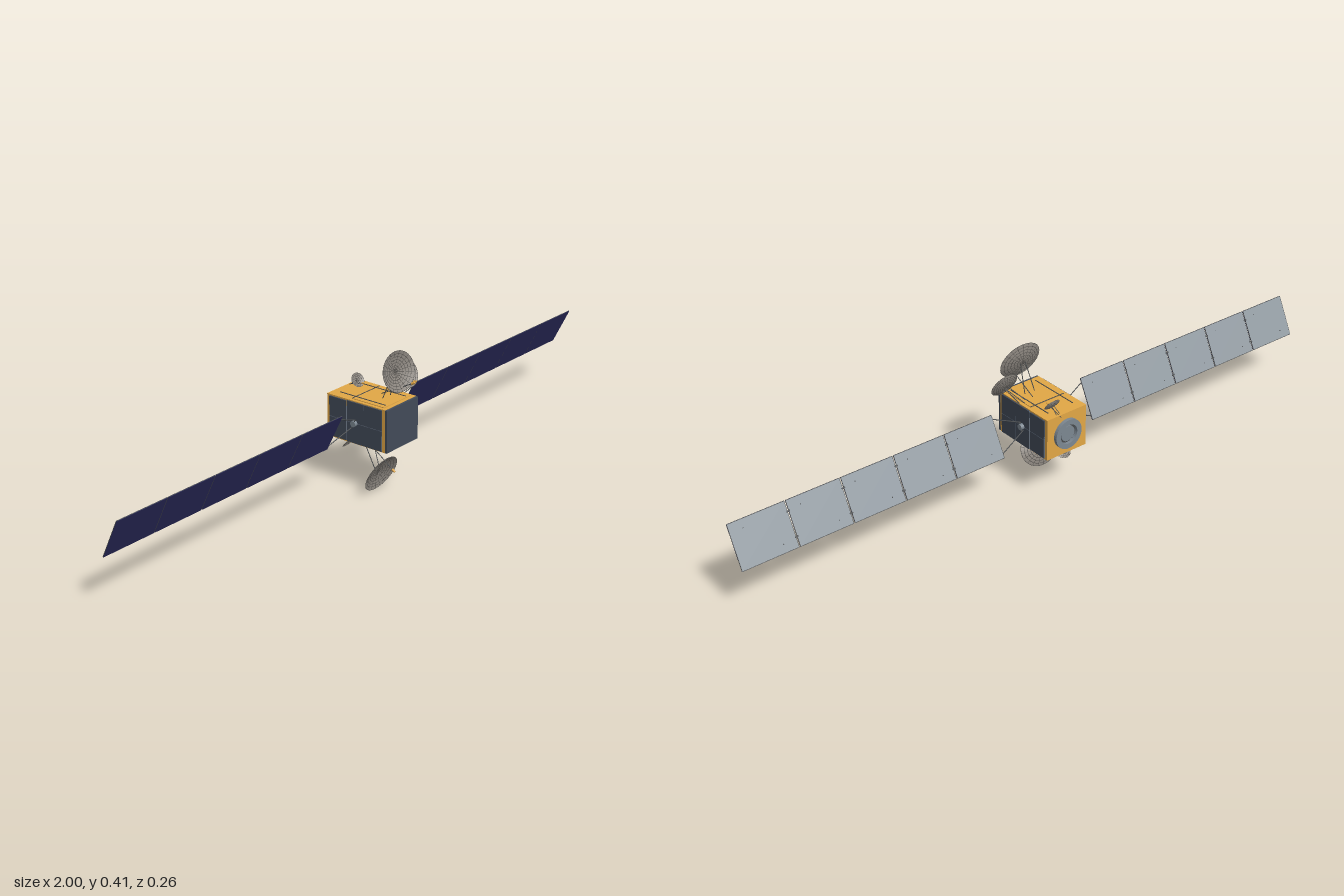
import * as THREE from 'three';

const paint = (name, color, side = THREE.FrontSide) => {
  const m = new THREE.MeshStandardMaterial({ color, side });
  m.name = name;
  return m;
};

export function createModel() {
  const model = new THREE.Group();
  model.name = 'satellite';
  const gold = paint('gold foil', 0xe2a746);
  const slate = paint('slate radiator', 0x424b59);
  const navy = paint('navy solar cell', 0x2c2c5e);
  const silver = paint('silver panel back', 0x919aa1);
  const steel = paint('steel', 0x7c8791, THREE.DoubleSide);
  const dark = paint('dark strut', 0x484b4d);
  const mesh = paint('warm grey dish', 0x8c867f, THREE.DoubleSide);
  const ribGrey = paint('dish rib grey', 0x5c5955);

  const V = (x, y, z) => new THREE.Vector3(x, y, z);
  const add = (parent, name, geo, mat, x = 0, y = 0, z = 0) => {
    const m = new THREE.Mesh(geo, mat);
    m.name = name;
    m.position.set(x, y, z);
    parent.add(m);
    return m;
  };
  const box = (parent, name, mat, w, h, d, x, y, z) =>
    add(parent, name, new THREE.BoxGeometry(w, h, d), mat, x, y, z);
  const rod = (parent, name, mat, a, b, r = 0.0015, r2 = r) => {
    const d = b.clone().sub(a);
    const m = add(parent, name, new THREE.CylinderGeometry(r2, r, d.length(), 8), mat);
    m.position.copy(a).addScaledVector(d, 0.5);
    m.quaternion.setFromUnitVectors(V(0, 1, 0), d.normalize());
    return m;
  };

  // Main body, front radiator
  const cy = 0.2025;
  const body = new THREE.Group();
  body.name = 'body';
  model.add(body);
  box(body, 'core', gold, 0.141, 0.13, 0.21, 0, cy, -0.011);
  box(body, 'frontRadiator', slate, 0.142, 0.128, 0.007, 0, cy, 0.0975);

  // Side radiators: six tiles over light backing plates, gold showing between the two plates
  for (const s of [-1, 1]) {
    box(body, 'sideBackingFront', steel, 0.003, 0.124, 0.125, s * 0.071, cy, 0.0215);
    box(body, 'sideBackingRear', steel, 0.003, 0.121, 0.0615, s * 0.071, cy, -0.0748);
    for (const [z, d, h] of [[0.0532, 0.0616, 0.0615], [-0.0097, 0.0616, 0.0615], [-0.0748, 0.0615, 0.06]])
      for (const t of [-1, 1])
        box(body, 'sideTile', slate, 0.004, h, d, s * 0.0725, cy + t * (h / 2 + 0.0007), z);
    // Wing drive hub
    const hub = add(body, 'wingHub', new THREE.CylinderGeometry(0.009, 0.009, 0.014, 20), steel, s * 0.078, 0.203, -0.011);
    hub.rotation.z = Math.PI / 2;
  }

  // Top and bottom decks with rails
  for (const t of [-1, 1]) {
    box(body, 'deckPlate', gold, 0.12, 0.003, 0.115, 0, cy + t * 0.0655, 0.025);
    for (const s of [-1, 1])
      box(body, 'deckRail', dark, 0.0025, 0.0015, 0.165, s * 0.045, cy + t * 0.0676, -0.006);
    box(body, 'deckCrossRail', dark, 0.12, 0.0015, 0.0025, 0, cy + t * 0.0674, -0.031);
  }

  // Rear docking ring around the engine
  const ringProfile = [[0.03, 0], [0.03, 0.011], [0.046, 0.011], [0.046, 0]].map(p => new THREE.Vector2(...p));
  const ring = add(body, 'rearRing', new THREE.LatheGeometry(ringProfile, 40).toNonIndexed(), steel, 0, cy, -0.116);
  ring.geometry.computeVertexNormals();
  const well = add(body, 'rearWell', new THREE.CylinderGeometry(0.03, 0.03, 0.002, 32), dark, 0, cy, -0.1165);
  const engine = add(body, 'enginePlate', new THREE.CylinderGeometry(0.024, 0.024, 0.006, 32), steel, 0, cy, -0.119);
  for (const part of [ring, well, engine]) part.rotation.x = -Math.PI / 2;

  // Solar wings: five hinged panels each, tilted with the top edge forward
  const inner = 0.163, pitch = (1 - inner) / 5, height = 0.128;
  for (const s of [-1, 1]) {
    const wing = new THREE.Group();
    wing.name = s > 0 ? 'leftWing' : 'rightWing';
    wing.position.set(0, 0.203, -0.011);
    wing.rotation.x = 0.465;
    model.add(wing);
    for (let i = 0; i < 5; i++) {
      const w = pitch - (i < 4 ? 0.0035 : 0);
      const x = s * (inner + i * pitch + w / 2);
      box(wing, 'panelBack', silver, w, height, 0.0016, x, 0, -0.0008);
      box(wing, 'solarCells', navy, w, height, 0.001, x, 0, 0.0005);
      for (const e of [-1, 1]) {
        // Dark edge caps, hinges and latches
        box(wing, 'panelEdge', dark, 0.0012, height, 0.0019, x + e * (w / 2 - 0.0005), 0, -0.0009);
        box(wing, 'panelRim', dark, w, 0.0016, 0.0019, x, e * (height / 2 - 0.0007), -0.0009);
        if (i < 4) box(wing, 'hinge', dark, 0.01, 0.004, 0.002, s * (inner + (i + 1) * pitch - 0.00175), e * 0.035, -0.002);
        box(wing, 'latch', dark, 0.0025, 0.0025, 0.001, x + e * 0.045, e * 0.04, -0.002);
      }
    }
    // Yoke struts
    for (const t of [-1, 1])
      rod(wing, 'yokeStrut', dark, V(s * 0.076, t * 0.012, 0), V(s * (inner + 0.002), t * 0.052, 0), 0.0015);
    rod(wing, 'yokeBar', dark, V(s * 0.082, -0.015, 0), V(s * 0.082, 0.015, 0), 0.0015);
  }

  // Dish antennas: [rim centre], [aim y, z], half width, half height, depth, [feed], [feed foot], [strut foot]
  const dishes = [
    ['upperLargeDish', [0.01, 0.355, 0.079], [0.031, 0.114], 0.069, 0.058, 0.014, [0.02, 0.328, 0.123], [0.02, 0.268, 0.007], [0.01, 0.268, 0.035]],
    ['upperSmallDish', [0.093, 0.318, 0.046], [0.036, 0.077], 0.043, 0.0415, 0.009, [0.085, 0.303, 0.08], [0.058, 0.268, -0.005], [0.058, 0.268, 0.008]],
    ['lowerLargeDish', [-0.043, 0.056, 0.059], [-0.043, 0.105], 0.066, 0.057, 0.013, [-0.043, 0.077, 0.104], [-0.043, 0.138, 0.016], [-0.043, 0.138, 0.016]],
    ['upperRearDish', [0.025, 0.287, -0.0815], [0.023, 0.035], 0.025, 0.021, 0.005, [0.025, 0.282, -0.061], [0.025, 0.264, -0.121], [0.025, 0.264, -0.113]],
    ['lowerRearDish', [-0.025, 0.113, -0.0715], [-0.033, 0.034], 0.025, 0.0235, 0.005, [-0.025, 0.116, -0.054], [-0.025, 0.141, -0.114], [-0.025, 0.141, -0.11]],
  ];
  for (const [name, c, [ay, az], rx, R, depth, feed, feedFoot, foot] of dishes) {
    const unit = new THREE.Group();
    unit.name = name;
    model.add(unit);
    const large = R > 0.03, k = large ? 1 : 0.7;
    const aim = V(0, ay, az).normalize();
    const back = V(...c).addScaledVector(aim, -depth);
    const dish = new THREE.Group();
    dish.name = 'reflector';
    dish.position.copy(back);
    dish.rotation.x = Math.atan2(az, ay);
    dish.scale.x = rx / R;
    unit.add(dish);

    // Parabolic shell with concentric and radial ribs
    const profile = Array.from({ length: 9 }, (_, i) => new THREE.Vector2(R * i / 8, depth * (i / 8) ** 2));
    add(dish, 'shell', new THREE.LatheGeometry(profile, 36), mesh);
    const rings = large ? 7 : 4, ribs = large ? 20 : 12, thin = large ? 0.0008 : 0.0005;
    for (let i = 1; i <= rings; i++) {
      const t = i / rings;
      const hoop = add(dish, 'hoop', new THREE.TorusGeometry(R * t, thin, 5, 36), ribGrey, 0, depth * t * t, 0);
      hoop.rotation.x = Math.PI / 2;
    }
    const arc = new THREE.QuadraticBezierCurve3(V(0, 0, 0), V(R / 2, 0, 0), V(R, depth, 0));
    const ribGeo = new THREE.TubeGeometry(arc, 6, thin * 0.8, 4);
    for (let i = 0; i < ribs; i++) add(dish, 'rib', ribGeo, ribGrey).rotation.y = i * Math.PI * 2 / ribs;

    // Feed horn on its arm, and the struts behind the dish
    const f = V(...feed), ff = V(...feedFoot);
    const dir = f.clone().sub(ff).normalize();
    rod(unit, 'feedArm', dark, ff, f, 0.0012 * k);
    rod(unit, 'feedHorn', gold, f.clone().addScaledVector(dir, -0.006 * k), f.clone().addScaledVector(dir, 0.005 * k), 0.004 * k, 0.0025 * k);
    for (const s of [-1, 1])
      rod(unit, 'dishStrut', dark, V(foot[0] + s * R * 0.3, foot[1], foot[2]), back.clone().add(V(s * R * 0.15, 0, 0)), 0.0013 * k);
  }
  return model;
}
